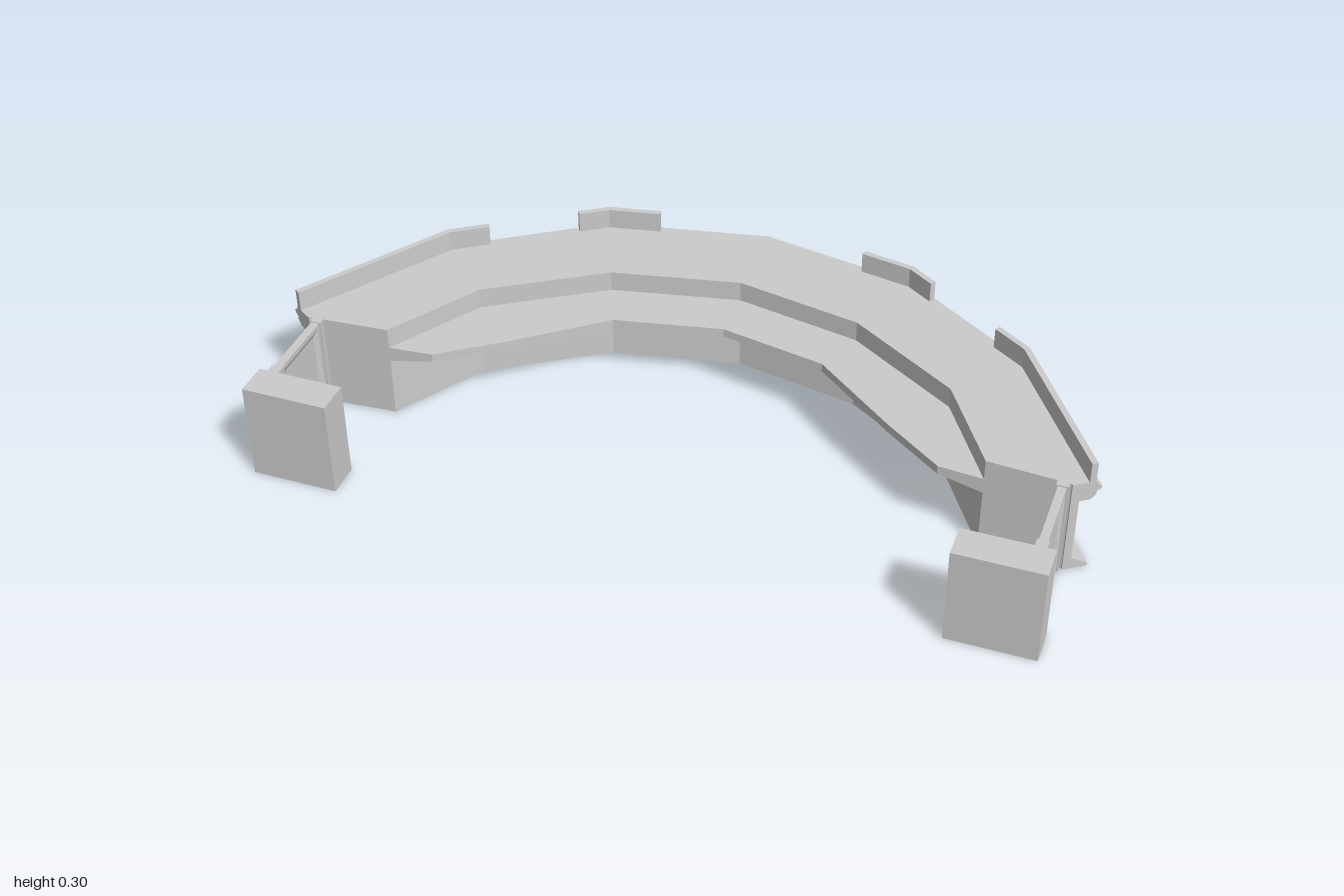
import * as THREE from 'three';

const material = new THREE.MeshStandardMaterial({ color: 0xcccccc, flatShading: true });

// Mirrors half a plan line (ending on the centre) into a full left-right line
const mirror = (pts) => pts.map(([x, z]) => [-x, z]).reverse();
const full = (half) => [...half, ...mirror(half.slice(0, -1))];
const lerp = (a, b, t) => [a[0] + (b[0] - a[0]) * t, a[1] + (b[1] - a[1]) * t];

// Plan lines as [x, z]
const outer = full([[-1, 0.17], [-0.76, -0.2], [-0.41, -0.437], [0, -0.517]]);
const inner = full([[-0.74, 0.19], [-0.6, -0.04], [-0.32, -0.22], [0, -0.285]]);
const deskEdge = full([[-0.63, 0.18], [-0.48, 0.07], [-0.27, -0.1], [0, -0.155]]);

// Moves a plan line towards the concave side, with mitred corners
function offset(path, d) {
  const normals = path.slice(1).map((p, i) => {
    const dx = p[0] - path[i][0], dz = p[1] - path[i][1], l = Math.hypot(dx, dz);
    return [-dz / l, dx / l];
  });
  return path.map((p, i) => {
    const a = normals[Math.max(i - 1, 0)], b = normals[Math.min(i, normals.length - 1)];
    const k = d / (1 + a[0] * b[0] + a[1] * b[1]);
    return [p[0] + (a[0] + b[0]) * k, p[1] + (a[1] + b[1]) * k];
  });
}

// Joins closed rings of [x, y, z] corners into a capped solid
function loft(rings) {
  const pos = [];
  const tri = (a, b, c) => pos.push(...a, ...b, ...c);
  const n = rings[0].length, first = rings[0], last = rings[rings.length - 1];
  for (let k = 0; k < rings.length - 1; k++) {
    for (let i = 0; i < n; i++) {
      const j = (i + 1) % n;
      tri(rings[k][i], rings[k][j], rings[k + 1][j]);
      tri(rings[k][i], rings[k + 1][j], rings[k + 1][i]);
    }
  }
  for (let i = 1; i < n - 1; i++) {
    tri(first[0], first[i + 1], first[i]);
    tri(last[0], last[i], last[i + 1]);
  }
  const geo = new THREE.BufferGeometry();
  geo.setAttribute('position', new THREE.Float32BufferAttribute(pos, 3));
  geo.computeVertexNormals();
  return geo;
}

// Sweeps a profile of [inset, y] along a plan line
function sweep(path, profile) {
  const lines = profile.map(([d]) => offset(path, d));
  return loft(path.map((_, k) => profile.map(([, y], i) => [lines[i][k][0], y, lines[i][k][1]])));
}

// Framed panel with a bevelled recess between plan points a and b
function panel(a, b, y0, y1, { border, bevel, depth, back }) {
  const l = Math.hypot(b[0] - a[0], b[1] - a[1]);
  const t = [(b[0] - a[0]) / l, (b[1] - a[1]) / l];
  const ring = (inset, d) => {
    const at = (s, y) => [a[0] + t[0] * s - t[1] * d, y, a[1] + t[1] * s + t[0] * d];
    const s0 = inset, s1 = l - inset, lo = y0 + inset, hi = y1 - inset;
    return [at(s0, lo), at(s0, hi), at(s1, hi), at(s1, lo)];
  };
  return loft([ring(0, back), ring(0, 0), ring(border, 0), ring(border + bevel, depth)]);
}

export function createModel() {
  const model = new THREE.Group();
  const add = (name, geo, parent = model) => {
    const mesh = new THREE.Mesh(geo, material);
    mesh.name = name;
    parent.add(mesh);
    return mesh;
  };
  const box = (name, x0, x1, y0, y1, z0, z1, parent) =>
    add(name, new THREE.BoxGeometry(x1 - x0, y1 - y0, z1 - z0), parent)
      .position.set((x0 + x1) / 2, (y0 + y1) / 2, (z0 + z1) / 2);

  // Curved counter body
  const core = offset(outer, 0.064);
  const shape = new THREE.Shape(
    [...core, ...[...inner].reverse()].map(([x, z]) => new THREE.Vector2(x, -z)));
  const body = new THREE.ExtrudeGeometry(shape, { depth: 0.25, bevelEnabled: false });
  body.rotateX(-Math.PI / 2);
  add('counterBody', body);

  // Recessed panels on the outside wall
  const wall = offset(outer, 0.05);
  const panels = new THREE.Group();
  panels.name = 'wallPanels';
  model.add(panels);
  for (let i = 0; i < wall.length - 1; i++) {
    add('wallPanel', panel(wall[i], wall[i + 1], 0.023, 0.202,
      { border: 0.02, bevel: 0.016, depth: 0.012, back: 0.02 }), panels);
  }

  // Mouldings along the foot and the top of the outside wall
  add('baseMoulding', sweep(outer, [
    [0.07, 0], [0.01, 0], [0.01, 0.009], [0.042, 0.027], [0.07, 0.027]]));
  add('topMoulding', sweep(outer, [
    [0.07, 0.2], [0.024, 0.2], [0.011, 0.213], [0.011, 0.222], [0, 0.229],
    [0, 0.237], [0.011, 0.243], [0.011, 0.25], [0.07, 0.25]]));

  // Lower desk ledge with a sloping underside
  add('deskLedge', loft(inner.map(([ax, az], k) => {
    const [bx, bz] = deskEdge[k];
    return [[bx, 0.175, bz], [ax, 0.157, az], [ax, 0.197, az], [bx, 0.197, bz]];
  })));

  // Upright screens standing on the outer rim
  const rail = [[0.03, 0.249], [0.015, 0.249], [0.015, 0.303], [0.03, 0.303]];
  const screens = {
    endScreen: [outer[0], outer[1], lerp(outer[1], outer[2], 0.25)],
    backScreen: [lerp(outer[1], outer[2], 0.8), outer[2], lerp(outer[2], outer[3], 0.33)],
  };
  for (const [name, path] of Object.entries(screens)) {
    add(name + 'Right', sweep(path, rail));
    add(name + 'Left', sweep(mirror(path), rail));
  }

  // Side gates with end posts and pillars
  for (const s of [-1, 1]) {
    const gate = new THREE.Group();
    gate.name = s < 0 ? 'rightGate' : 'leftGate';
    model.add(gate);
    const x = s * 0.92, style = { border: 0.012, bevel: 0.014, depth: 0.006, back: 0.01 };
    add('gatePanel', panel([x - 0.01, 0.41], [x - 0.01, 0.215], 0.004, 0.247, style), gate);
    add('gatePanel', panel([x + 0.01, 0.215], [x + 0.01, 0.41], 0.004, 0.247, style), gate);
    box('hingePost', x - 0.014, x + 0.014, 0, 0.25, 0.185, 0.218, gate);
    box('latchPost', x - 0.014, x + 0.014, 0, 0.25, 0.407, 0.434, gate);
    box('pillar', s * 0.848 - 0.107, s * 0.848 + 0.107, 0, 0.25, 0.43, 0.515, gate);
  }
  return model;
}
